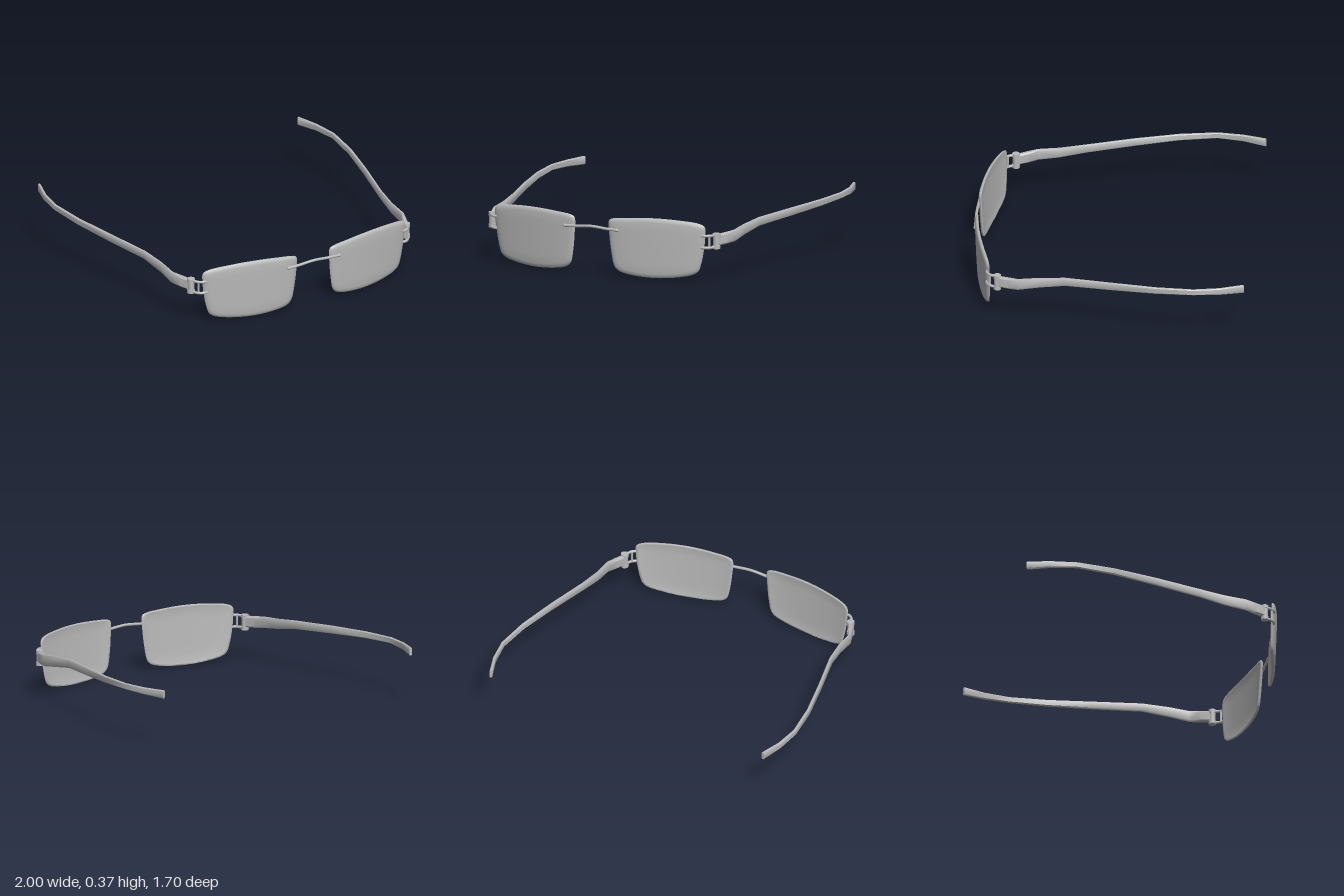
import * as THREE from 'three';
import { toCreasedNormals } from 'three/addons/utils/BufferGeometryUtils.js';

// Skin over rings of points; the first and last ring are collapsed to a point.
function loft(rings, crease) {
  const n = rings[0].length, pos = [], idx = [];
  rings.forEach(r => r.forEach(p => pos.push(p.x, p.y, p.z)));
  for (let i = 0; i < rings.length - 1; i++) {
    for (let j = 0; j < n; j++) {
      const a = i * n + j, b = i * n + (j + 1) % n, c = b + n, d = a + n;
      if (i < rings.length - 2) idx.push(a, d, c);
      if (i > 0) idx.push(a, c, b);
    }
  }
  const g = new THREE.BufferGeometry();
  g.setAttribute('position', new THREE.Float32BufferAttribute(pos, 3));
  g.setIndex(idx);
  return toCreasedNormals(g, crease);
}

// Mirrored copy across x = 0 with the winding put right again.
function mirrorX(geometry) {
  const g = geometry.index ? geometry.toNonIndexed() : geometry.clone();
  for (const name of ['position', 'normal']) {
    const a = g.attributes[name];
    for (let i = 0; i < a.count; i += 3) {
      const p = [0, 2, 1].map(k => [-a.getX(i + k), a.getY(i + k), a.getZ(i + k)]);
      p.forEach((q, k) => a.setXYZ(i + k, ...q));
    }
  }
  return g;
}

const vec = p => new THREE.Vector3(...p);

function tube(points, radius, segments = 16) {
  const path = new THREE.CatmullRomCurve3(points.map(vec));
  return new THREE.TubeGeometry(path, segments, radius, 8);
}

// Curved lens: scaled copies of the outline, wrapped onto a bowed surface.
const lensZ = (x, y) => 0.833 - 0.222 * x * x + 0.04 * (y - 0.2);

function lensGeometry() {
  const outline = [
    [0.115, 0.335], [0.13, 0.352], [0.25, 0.367], [0.4, 0.374], [0.55, 0.369], [0.69, 0.35],
    [0.717, 0.33], [0.718, 0.28], [0.71, 0.2], [0.69, 0.1], [0.672, 0.055], [0.64, 0.033],
    [0.55, 0.013], [0.4, 0.002], [0.25, 0.013], [0.175, 0.033], [0.148, 0.06], [0.13, 0.14], [0.118, 0.25],
  ].reverse().map(([x, y]) => new THREE.Vector3(x, y, 0));
  const pts = new THREE.CatmullRomCurve3(outline, true).getPoints(72).slice(0, 72);
  const cx = 0.42, cy = 0.19;
  // [scale of outline, offset in depth] from the front centre round to the back centre
  const profile = [
    [0, 0.01], [0.3, 0.01], [0.6, 0.01], [0.86, 0.009], [0.94, 0.006], [0.985, 0], [1, -0.008],
    [0.985, -0.013], [0.94, -0.012], [0.86, -0.009], [0.6, -0.008], [0.3, -0.008], [0, -0.008],
  ];
  return loft(profile.map(([s, dz]) => pts.map(p => {
    const x = cx + (p.x - cx) * s, y = cy + (p.y - cy) * s;
    return new THREE.Vector3(x, y, lensZ(x, y) + dz);
  })), 1.2);
}

// Temple arm: a bevelled strip following the bowed side path.
function armGeometry() {
  // x, z, bottom y, top y, thickness
  const stations = [
    [0.768, 0.655, 0.213, 0.282, 0.032], [0.795, 0.59, 0.217, 0.288, 0.03], [0.82, 0.53, 0.224, 0.294, 0.02],
    [0.82, 0.4, 0.245, 0.308, 0.018], [0.84, 0.24, 0.274, 0.326, 0.018], [0.91, -0.05, 0.294, 0.342, 0.018],
    [0.967, -0.32, 0.312, 0.353, 0.018], [0.99, -0.55, 0.324, 0.36, 0.018],
    [0.967, -0.71, 0.321, 0.363, 0.018], [0.922, -0.85, 0.316, 0.367, 0.018],
  ];
  const section = [[1, -0.75], [1, 0.75], [0.5, 1], [-0.5, 1], [-1, 0.75], [-1, -0.75], [-0.5, -1], [0.5, -1]];
  const rings = stations.map(([x, z, y0, y1, t], i) => {
    const p = stations[Math.max(i - 1, 0)], q = stations[Math.min(i + 1, stations.length - 1)];
    const across = new THREE.Vector2(p[1] - q[1], q[0] - p[0]).normalize().multiplyScalar(t / 2);
    return section.map(([u, v]) => new THREE.Vector3(
      x + across.x * u, (y0 + y1) / 2 + v * (y1 - y0) / 2, z + across.y * u));
  });
  const collapse = ring => {
    const c = new THREE.Vector3();
    ring.forEach(p => c.addScaledVector(p, 1 / ring.length));
    return ring.map(() => c.clone());
  };
  return loft([collapse(rings[0]), ...rings, collapse(rings.at(-1))], 0.7);
}

export function createModel() {
  const model = new THREE.Group();
  model.name = 'eyeglasses';
  const grey = new THREE.MeshStandardMaterial({ color: 0xbababa });
  grey.name = 'grey';

  const add = (name, geometry) => {
    const mesh = new THREE.Mesh(geometry, grey);
    mesh.name = name;
    model.add(mesh);
  };
  const addPair = (name, geometry) => {
    add('left' + name, geometry);
    add('right' + name, mirrorX(geometry));
  };

  addPair('Lens', lensGeometry());
  addPair('Arm', armGeometry());

  // Hinge: two curved prongs from the lens to an upright barrel
  for (const [name, y] of [['UpperProng', 0.279], ['LowerProng', 0.206]]) {
    addPair(name, tube([[0.695, y, 0.728], [0.725, y, 0.724], [0.75, y, 0.702], [0.765, y, 0.662]], 0.009));
    const knuckle = new THREE.CylinderGeometry(0.024, 0.024, 0.022, 12);
    knuckle.translate(0.766, y, 0.66);
    addPair(name + 'Knuckle', knuckle);
  }
  const barrel = new THREE.CylinderGeometry(0.02, 0.02, 0.08, 12);
  barrel.translate(0.766, 0.2425, 0.66);
  addPair('HingeBarrel', barrel);
  const post = new THREE.CylinderGeometry(0.007, 0.007, 0.08, 8);
  post.translate(0.742, 0.2425, 0.708);
  addPair('HingePost', post);

  // Bridge rod lying on the lens fronts, with rounded ends
  add('bridge', tube([
    [-0.18, 0.287, 0.838], [-0.11, 0.29, 0.84], [0, 0.298, 0.842], [0.11, 0.29, 0.84], [0.18, 0.287, 0.838],
  ], 0.009, 32));
  const tip = new THREE.SphereGeometry(0.011, 12, 8);
  tip.translate(0.178, 0.287, 0.838);
  addPair('BridgeTip', tip);

  return model;
}
